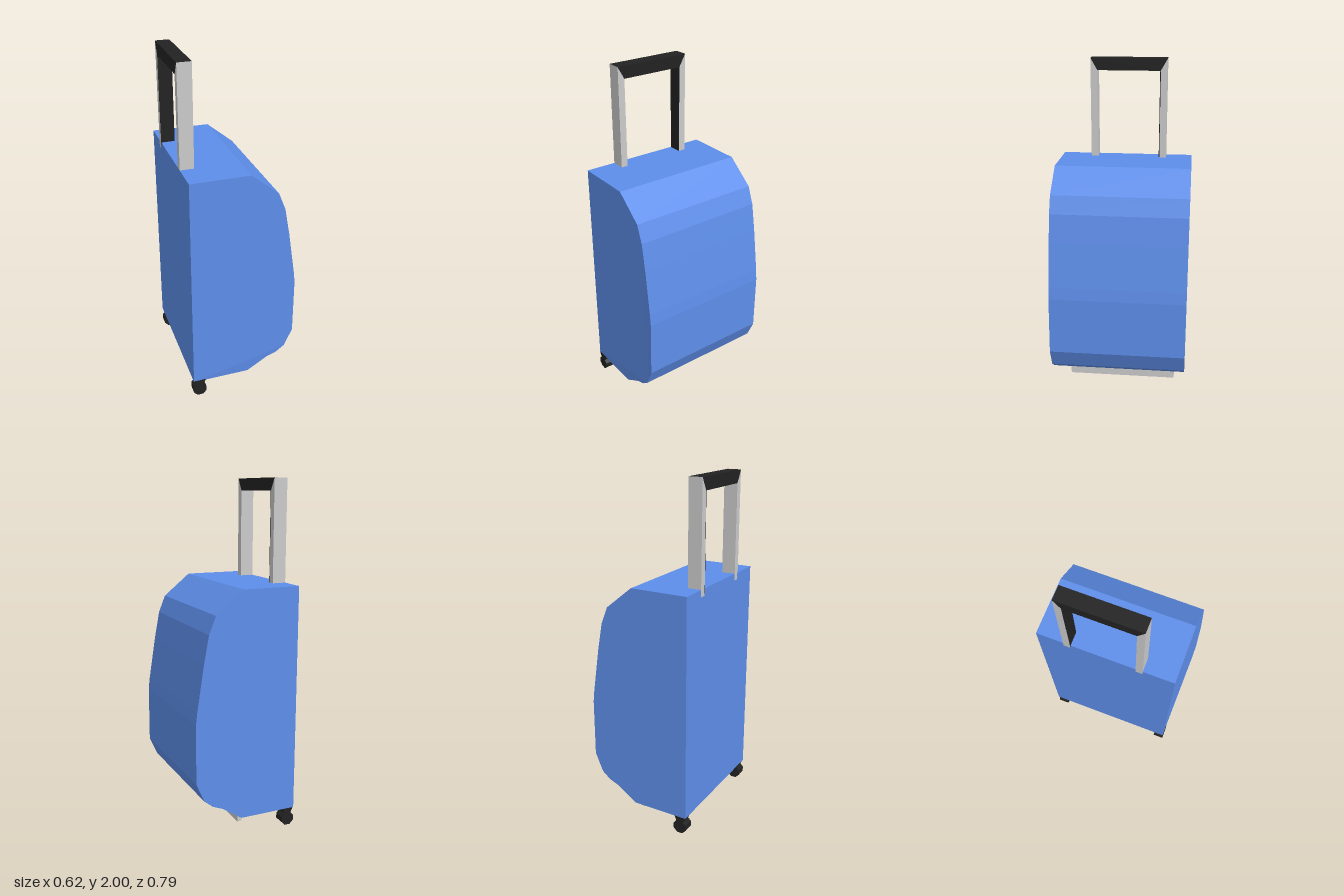
import * as THREE from 'three';

const mat = (color) => new THREE.MeshStandardMaterial({ color, flatShading: true });

// Outline from [x, y] points
const outline = (pts) => new THREE.Shape(pts.map(([x, y]) => new THREE.Vector2(x, y)));

// Extrude an x/y outline along z, from z0 to z1
function extrudeZ(pts, z0, z1) {
  const geo = new THREE.ExtrudeGeometry(outline(pts), { depth: z1 - z0, bevelEnabled: false });
  return geo.translate(0, 0, z0);
}

// Extrude a z/y outline along x, from x0 to x1
function extrudeX(pts, x0, x1) {
  const geo = new THREE.ExtrudeGeometry(outline(pts), { depth: x1 - x0, bevelEnabled: false });
  return geo.rotateY(-Math.PI / 2).translate(x1, 0, 0);
}

export function createModel() {
  const group = new THREE.Group();
  const blue = mat(0x5e8eea);
  const grey = mat(0xcccccc);
  const black = mat(0x222222);

  function add(name, geo, material, x = 0, y = 0, z = 0) {
    const mesh = new THREE.Mesh(geo, material);
    mesh.name = name;
    mesh.position.set(x, y, z);
    group.add(mesh);
    return mesh;
  }
  const box = (w, h, d) => new THREE.BoxGeometry(w, h, d);

  // Case body: flat back, bulging front, one side flaring slightly at the bulge
  const body = extrudeZ([
    [-0.31, 0.105], [0.03, 0.105], [0.15, 0.185], [0.21, 0.21], [0.26, 0.25], [0.308, 0.36],
    [0.308, 0.7], [0.3, 0.77], [0.26, 1.03], [0.23, 1.19], [0.19, 1.29], [0.03, 1.42], [-0.31, 1.42],
  ], -0.395, 0.388);
  const pos = body.attributes.position;
  for (let i = 0; i < pos.count; i++) {
    const x = pos.getX(i);
    if (pos.getZ(i) > 0 && x > 0.03) {
      pos.setZ(i, 0.388 + 0.012 * ((x - 0.03) / 0.28) * ((1.42 - pos.getY(i)) / 1.1));
    }
  }
  body.computeVertexNormals();
  add('caseBody', body, blue);

  // Pull handle: two posts mitred into a dark grip
  const out = [0.21, -0.24];
  const inn = [0.17, -0.2];
  const post = (i) => [[out[i], 1.38], [out[i], 2], [inn[i], 1.93], [inn[i], 1.38]];
  add('handlePostLeft', extrudeX(post(0), -0.31, -0.23), grey);
  add('handlePostRight', extrudeX(post(1), -0.31, -0.23), grey);
  add('handleGrip', extrudeX([[out[0], 2], [out[1], 2], [inn[1], 1.93], [inn[0], 1.93]], -0.31, -0.23), black);
  add('handlePostLining', box(0.08, 0.54, 0.004), black, -0.27, 1.66, -0.199);

  // Handle frame edge showing under the case
  add('handleFrameEdge', box(0.012, 0.006, 0.5), black, -0.25, 0.104, -0.05);

  // Front foot bar
  add('footBar', box(0.026, 0.07, 0.655), grey, 0.013, 0.087, -0.003);

  // Wheels with tapered brackets
  const bracket = [[-0.308, 0.11], [-0.287, 0.06], [-0.257, 0.06], [-0.236, 0.11]];
  for (const [side, z] of [['Left', 0.358], ['Right', -0.362]]) {
    const wheel = new THREE.CylinderGeometry(0.042, 0.042, 0.064, 8)
      .rotateX(Math.PI / 2).rotateZ(Math.PI / 8);
    add('wheel' + side, wheel, black, -0.272, 0.039, z);
    add('wheelBracket' + side, extrudeZ(bracket, z - 0.032, z + 0.032), black);
  }

  return group;
}
